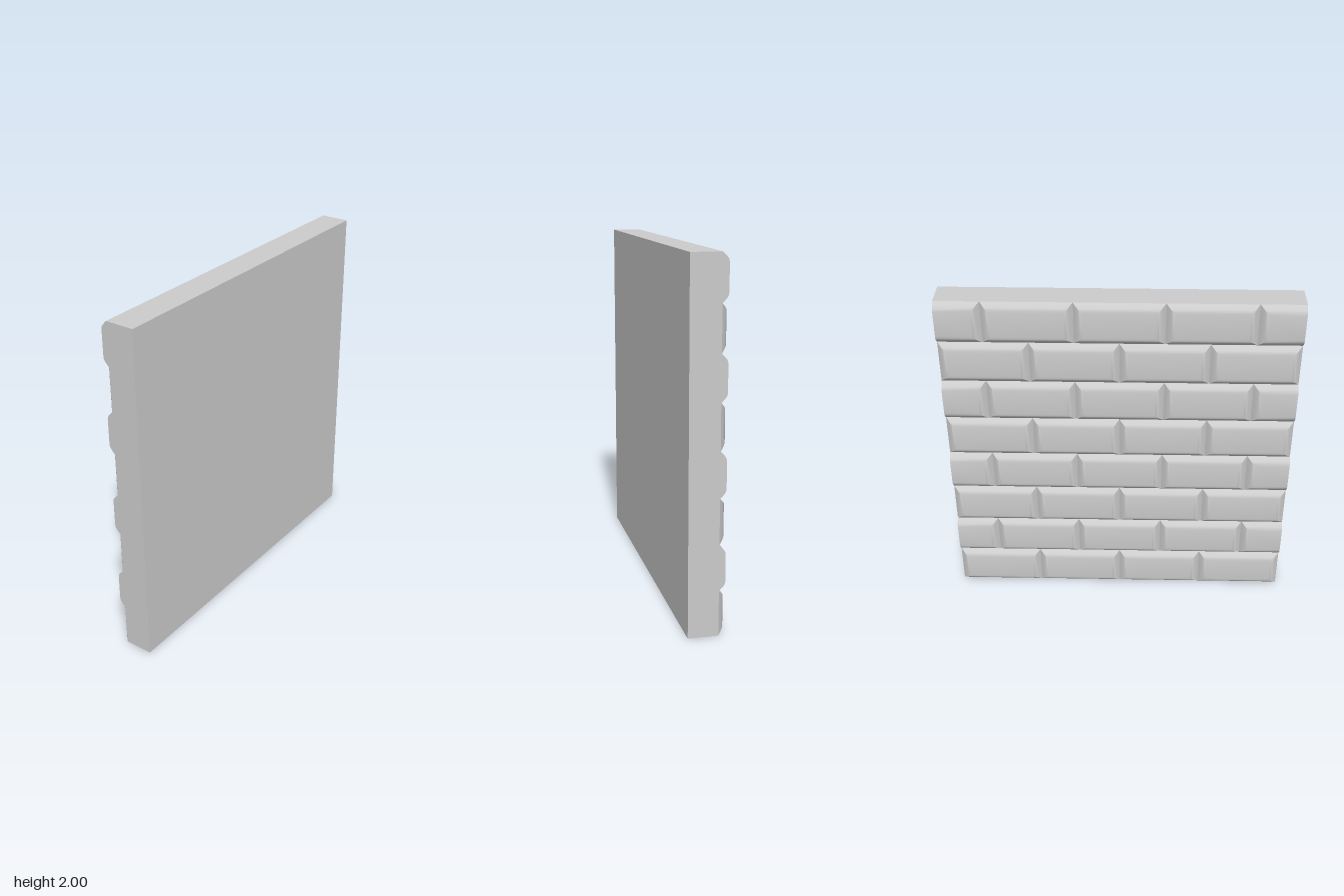
import * as THREE from 'three';
import { toCreasedNormals } from 'three/addons/utils/BufferGeometryUtils.js';

const BASE = 0.066; // depth of the mortar plane behind the centre
// Brick edge profile: [inset from the joint, depth]
const PROFILE = [[0, BASE], [0.012, 0.078], [0.024, 0.089], [0.036, 0.097], [0.05, 0.1]];

// Pillow-edged brick facing -z; an end that is cut off stays flush and flat
function brickGeometry(x0, x1, y0, y1, cutLow, cutHigh) {
  const positions = [], index = [];
  for (const [inset, depth] of PROFILE) {
    const a = cutLow ? x0 : x0 + inset;
    const b = cutHigh ? x1 : x1 - inset;
    const low = y0 + inset, high = y1 - inset;
    positions.push(a, low, -depth, a, high, -depth, b, high, -depth, b, low, -depth);
  }
  const last = (PROFILE.length - 1) * 4;
  for (let k = 0; k < last; k += 4) {
    for (let i = 0; i < 4; i++) {
      const j = (i + 1) % 4;
      index.push(k + i, k + j, k + 4 + j, k + i, k + 4 + j, k + 4 + i);
    }
  }
  index.push(last, last + 1, last + 2, last, last + 2, last + 3);
  const geometry = new THREE.BufferGeometry();
  geometry.setAttribute('position', new THREE.Float32BufferAttribute(positions, 3));
  geometry.setIndex(index);
  return toCreasedNormals(geometry, 0.7);
}

export function createModel() {
  const model = new THREE.Group();
  model.name = 'brickWall';
  const material = new THREE.MeshStandardMaterial({ color: 0xcccccc });

  // Flat slab behind the bricks
  const slab = new THREE.Mesh(new THREE.BoxGeometry(2, 2, 0.1 + BASE), material);
  slab.position.set(0, 1, (0.1 - BASE) / 2);
  slab.name = 'slab';
  model.add(slab);

  // Eight courses in running bond, every second one with half bricks at its ends
  const courseHeight = 0.25, brickLength = 0.5;
  for (let row = 0; row < 8; row++) {
    const course = new THREE.Group();
    course.name = 'brickCourse';
    const offset = row % 2 ? brickLength / 2 : 0;
    for (let start = -1 - offset; start < 1; start += brickLength) {
      const end = start + brickLength;
      const geometry = brickGeometry(
        Math.max(start, -1), Math.min(end, 1),
        row * courseHeight, (row + 1) * courseHeight,
        start < -1, end > 1
      );
      const brick = new THREE.Mesh(geometry, material);
      brick.name = start < -1 || end > 1 ? 'halfBrick' : 'brick';
      course.add(brick);
    }
    model.add(course);
  }
  return model;
}
